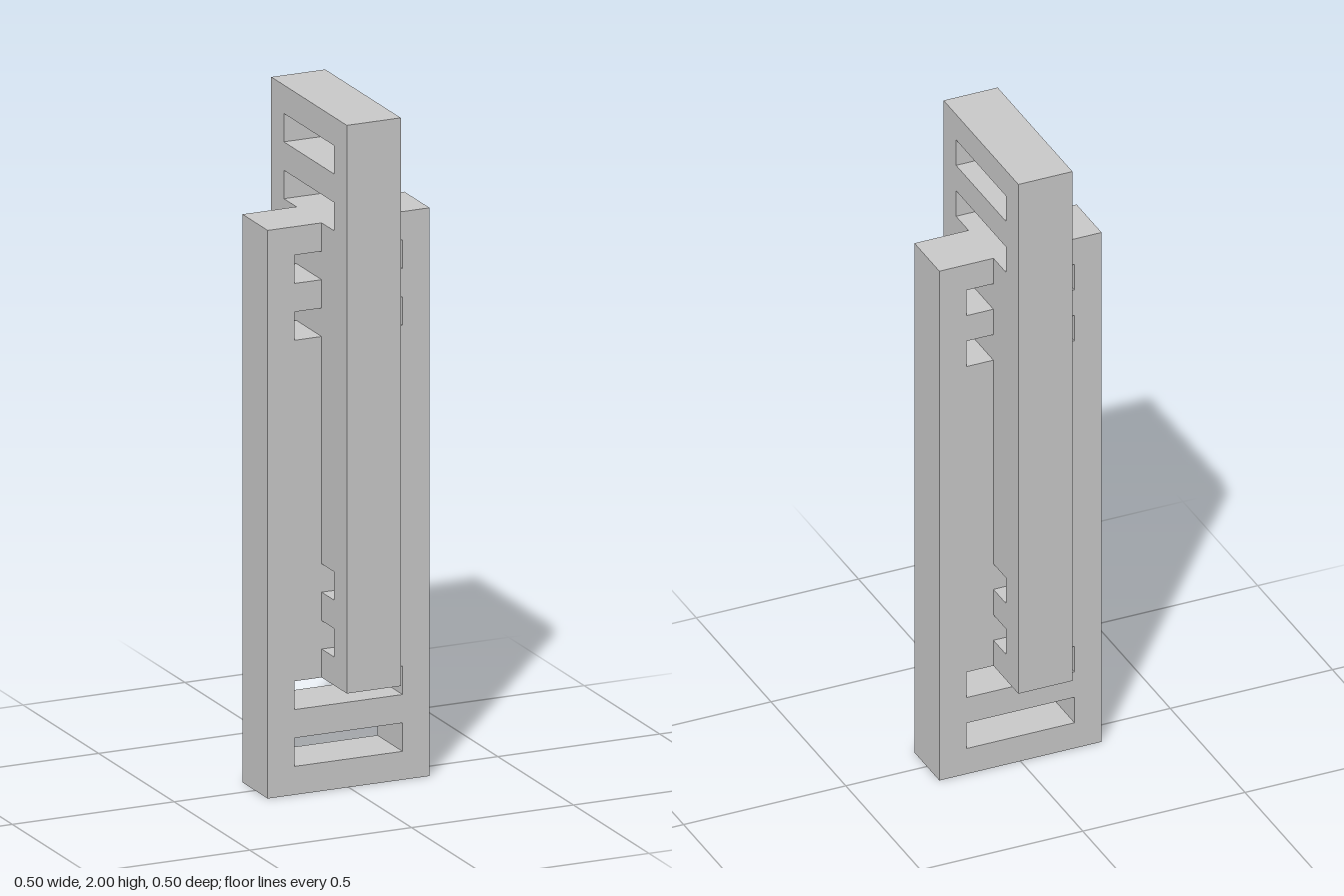
import * as THREE from 'three';

const U = 1 / 12; // grid unit: every dimension is a multiple of it

// Clockwise rectangle path, used as a slot
function slot(x0, y0, x1, y1) {
  const path = new THREE.Path();
  path.moveTo(x0, y0);
  path.lineTo(x0, y1);
  path.lineTo(x1, y1);
  path.lineTo(x1, y0);
  path.closePath();
  return path;
}

// Tall board with a pair of slots near each end
function board() {
  const shape = new THREE.Shape();
  shape.moveTo(-3 * U, 0);
  shape.lineTo(3 * U, 0);
  shape.lineTo(3 * U, 20 * U);
  shape.lineTo(-3 * U, 20 * U);
  shape.closePath();
  for (const y of [1, 3, 16, 18]) {
    shape.holes.push(slot(-2 * U, y * U, 2 * U, (y + 1) * U));
  }
  const geometry = new THREE.ExtrudeGeometry(shape, { depth: 2 * U, bevelEnabled: false });
  return geometry.translate(0, 0, -U);
}

export function createModel() {
  const model = new THREE.Group();
  model.name = 'crossedSlottedBoards';
  const material = new THREE.MeshStandardMaterial({ color: 0xcccccc });
  const geometry = board();

  // Lower board, facing the front
  const lower = new THREE.Mesh(geometry, material);
  lower.name = 'lowerBoard';

  // Upper board, turned a quarter and raised
  const upper = new THREE.Mesh(geometry, material);
  upper.name = 'upperBoard';
  upper.rotation.y = Math.PI / 2;
  upper.position.y = 4 * U;

  model.add(lower, upper);
  return model;
}
